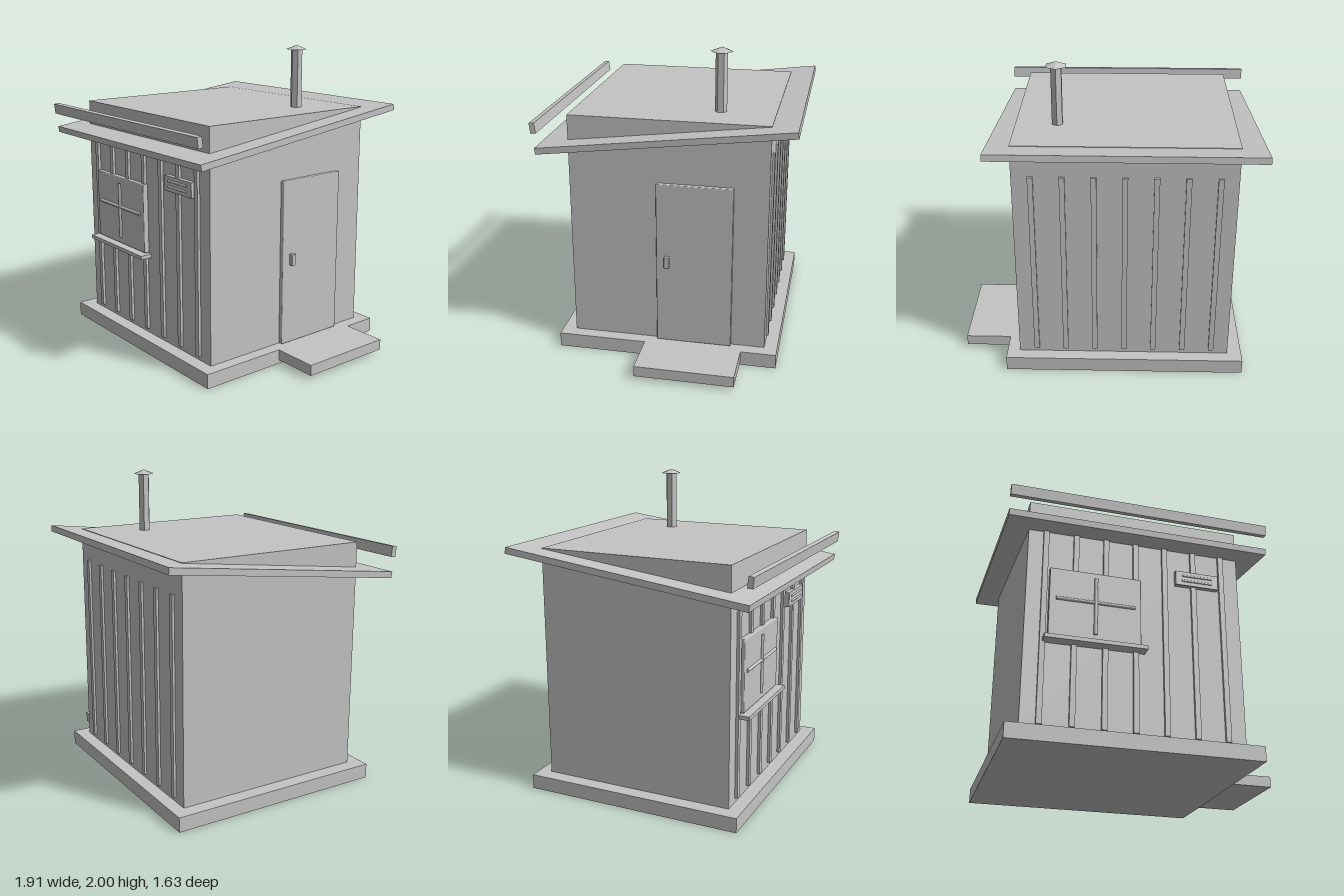
import * as THREE from 'three';
import { RoundedBoxGeometry } from 'three/addons/geometries/RoundedBoxGeometry.js';

export function createModel() {
  const model = new THREE.Group();
  model.name = 'shed';
  const grey = new THREE.MeshStandardMaterial({ color: 0xc4c4c4 });
  grey.name = 'plain grey';

  function add(name, geometry, x, y, z, parent = model) {
    const mesh = new THREE.Mesh(geometry, grey);
    mesh.name = name;
    mesh.position.set(x, y, z);
    parent.add(mesh);
    return mesh;
  }

  // Block given by its limits on each axis, with optionally eased edges
  function block(name, [x0, x1], [y0, y1], [z0, z1], ease = 0, parent = model) {
    const size = [x1 - x0, y1 - y0, z1 - z0];
    const geometry = ease ? new RoundedBoxGeometry(...size, 2, ease) : new THREE.BoxGeometry(...size);
    return add(name, geometry, (x0 + x1) / 2, (y0 + y1) / 2, (z0 + z1) / 2, parent);
  }

  // Thin round bar lying along x, or upright
  function bar(name, length, radius, x, y, z, upright, parent) {
    const geometry = new THREE.CylinderGeometry(radius, radius, length, 12);
    if (!upright) geometry.rotateZ(Math.PI / 2);
    return add(name, geometry, x, y, z, parent);
  }

  // Foundation, doorstep and walls
  block('foundation', [-0.9, 0.655], [0, 0.095], [-0.73, 0.71]);
  block('doorstep', [0.655, 0.953], [0.025, 0.095], [-0.502, 0.132]);
  block('walls', [-0.807, 0.573], [0.095, 1.594], [-0.646, 0.622]);

  // Sloping roof sheet and the board above its front edge
  const slope = 0.124;
  const roof = add('roof', new THREE.BoxGeometry(1.67, 0.041, 1.613), -0.122, 1.491, -0.012);
  roof.rotation.x = slope;
  const fascia = add('fascia', new THREE.BoxGeometry(1.67, 0.068, 0.034), -0.122, 1.539, 0.795);
  fascia.rotation.x = slope;

  // Upright battens on the front and back walls
  const battens = new THREE.Group();
  battens.name = 'battens';
  model.add(battens);
  for (let i = 0; i < 7; i++) {
    const x = -0.696 + i * 0.192;
    block('frontBatten', [x - 0.017, x + 0.017], [0.125, 1.392], [0.61, 0.64], 0, battens);
    block('backBatten', [x - 0.017, x + 0.017], [0.125, 1.392], [-0.661, -0.635], 0, battens);
  }

  // Window with cross bars and sill
  const frontWindow = new THREE.Group();
  frontWindow.name = 'window';
  model.add(frontWindow);
  block('windowPanel', [-0.668, -0.092], [0.665, 1.127], [0.62, 0.656], 0.006, frontWindow);
  bar('windowUpright', 0.377, 0.012, -0.38, 0.897, 0.658, true, frontWindow);
  bar('windowCrossbar', 0.495, 0.011, -0.38, 0.923, 0.657, false, frontWindow);
  block('windowSill', [-0.697, -0.063], [0.636, 0.661], [0.615, 0.703], 0, frontWindow);

  // Small plaque with two raised strips
  const plaque = new THREE.Group();
  plaque.name = 'plaque';
  model.add(plaque);
  block('plaqueBoard', [0.14, 0.427], [1.137, 1.237], [0.62, 0.652], 0.004, plaque);
  for (const y of [1.17, 1.206]) bar('plaqueStrip', 0.2, 0.008, 0.283, y, 0.65, false, plaque);

  // Door and handle on the left side
  block('door', [0.565, 0.602], [0.095, 1.188], [-0.428, 0.06], 0.006);
  block('doorHandle', [0.597, 0.629], [0.629, 0.704], [-0.027, 0.005], 0.003);

  // Six-sided stovepipe and cap
  const pipe = new THREE.CylinderGeometry(0.038, 0.038, 0.43, 6).toNonIndexed();
  pipe.computeVertexNormals();
  add('stovepipe', pipe, 0.31, 1.762, -0.299);
  const cap = new THREE.ConeGeometry(0.071, 0.028, 6).toNonIndexed();
  cap.computeVertexNormals();
  add('stovepipeCap', cap, 0.31, 1.986, -0.299);

  return model;
}
